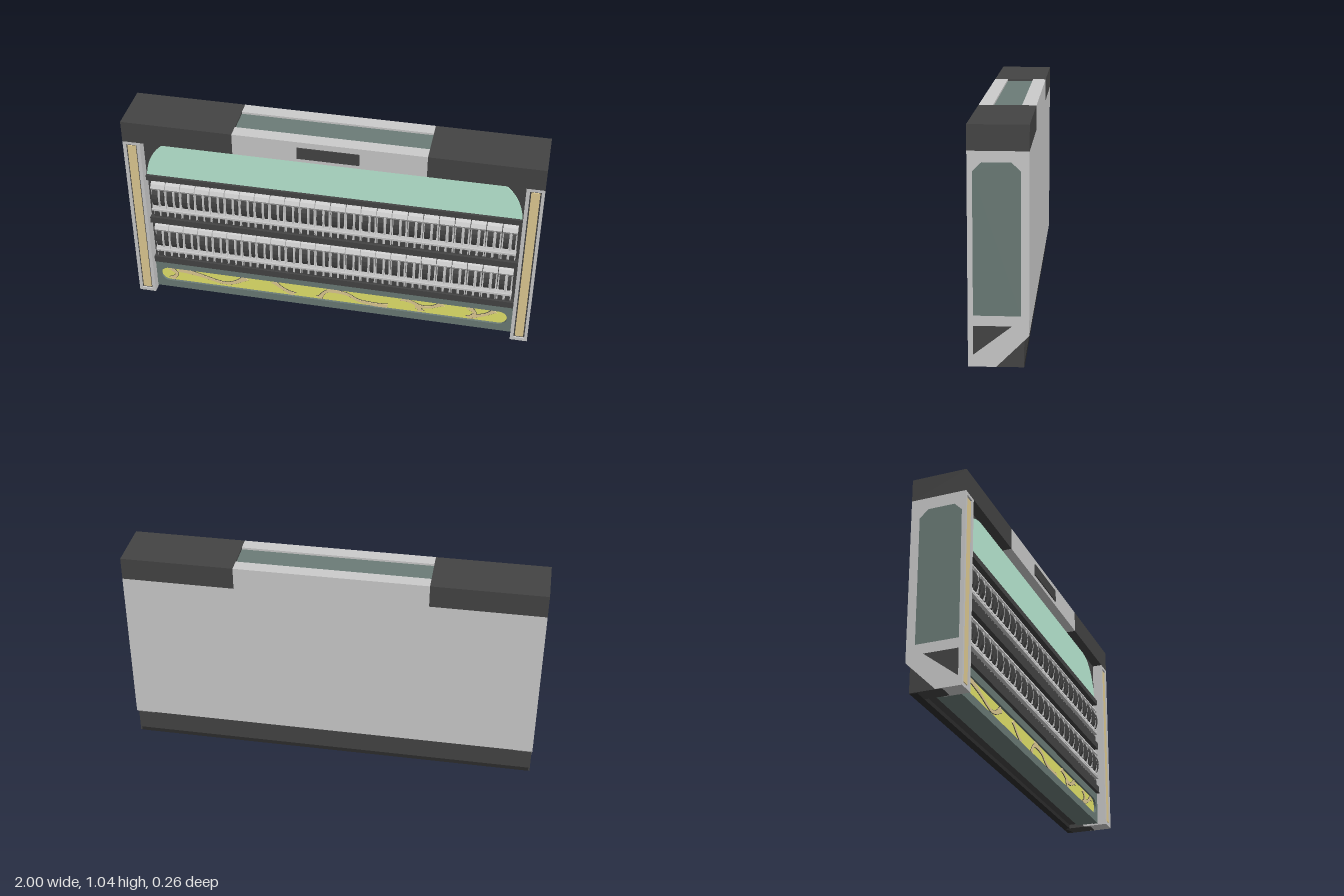
import * as THREE from 'three';

const mat = (color) => new THREE.MeshStandardMaterial({ color, flatShading: true });
const GREY = mat(0xcccccc), DARK = mat(0x444444), TEAL = mat(0x6b7c77), MINT = mat(0xbdeed7);
const TAN = mat(0xe2cd94), YELLOW = mat(0xe6e66c), BLACK = mat(0x2c2c2c);

export function createModel() {
  const root = new THREE.Group();
  const add = (name, geo, material, parent = root) => {
    const m = new THREE.Mesh(geo, material);
    m.name = name;
    parent.add(m);
    return m;
  };
  // Box given by its min and max on each axis
  const box = (name, x0, x1, y0, y1, z0, z1, material, parent) =>
    add(name, new THREE.BoxGeometry(x1 - x0, y1 - y0, z1 - z0)
      .translate((x0 + x1) / 2, (y0 + y1) / 2, (z0 + z1) / 2), material, parent);
  const poly = (pts) => new THREE.Shape(pts.map(([a, b]) => new THREE.Vector2(a, b)));
  const withHoles = (pts, holes) => {
    const s = poly(pts);
    s.holes = holes.map(poly);
    return s;
  };
  const extrude = (shape, depth) =>
    new THREE.ExtrudeGeometry(shape, { depth, bevelEnabled: false, curveSegments: 10 });
  const front = (name, shape, z0, z1, material, parent) =>
    add(name, extrude(shape, z1 - z0).translate(0, 0, z0), material, parent);
  // Profile in (z, y), extruded sideways from x0 to x1
  const zy = (pts) => pts.map(([z, y]) => [-z, y]);
  const side = (name, pts, x0, x1, material, parent, holes = []) =>
    add(name, extrude(withHoles(zy(pts), holes.map(zy)), x1 - x0)
      .rotateY(Math.PI / 2).translate(x0, 0, 0), material, parent);
  const rect = (x0, x1, y0, y1) => [[x0, y0], [x1, y0], [x1, y1], [x0, y1]];

  // Main body and back
  box('core', -0.915, 0.915, 0.14, 0.93, -0.1, 0.07, DARK);
  box('backPanel', -0.915, 0.915, 0.14, 0.93, -0.13, -0.1, GREY);

  // Base with dark plinth behind and feet at both ends
  box('plinth', -0.99, 0.99, 0.02, 0.139, -0.11, -0.03, DARK);
  box('plinthRail', -0.99, 0.99, 0, 0.02, -0.11, -0.075, BLACK);
  box('baseTray', -0.915, 0.915, 0.01, 0.14, -0.03, 0.06, TEAL);

  // Top cap: dark ends, grey middle with an inset strip
  for (const s of [-1, 1]) {
    box('capEnd', Math.min(s, s * 0.46), Math.max(s, s * 0.46), 0.93, 1.04, -0.13, 0.13, DARK);
    box('capRail', -0.46, 0.46, 0.93, 1.04, s > 0 ? 0.065 : -0.13, s > 0 ? 0.13 : -0.065, GREY);
  }
  box('capStrip', -0.46, 0.46, 0.93, 1.03, -0.065, 0.065, TEAL);
  box('capPlate', -0.15, 0.145, 0.95, 1.01, 0.13, 0.135, DARK);

  // Side columns
  const profile = [[0.12, 0], [0.12, 0.93], [-0.13, 0.93], [-0.13, 0.14], [0.01, 0]];
  const windowPts = (o) => [[0.115 - o, 0.215 + o], [0.115 - o, 0.845 - o * 0.4], [0.072 - o * 0.4, 0.888 - o],
    [-0.058 + o * 0.4, 0.888 - o], [-0.102 + o, 0.845 - o * 0.4], [-0.102 + o, 0.215 + o]];
  const triangle = (o) => [[0.115 - o, 0.035 + o * 2], [0.115 - o, 0.185 - o], [-0.075 + o * 2.4, 0.185 - o]];
  for (const s of [-1, 1]) {
    const col = new THREE.Group();
    col.name = s > 0 ? 'leftColumn' : 'rightColumn';
    root.add(col);
    // Outward span in x, mirrored for the other column
    const span = (a, b) => (s > 0 ? [a, b] : [-b, -a]);
    side('columnCore', profile, ...span(0.915, 0.98), GREY, col);
    side('columnSkin', profile, ...span(0.98, 1), GREY, col, [windowPts(0), triangle(0)]);
    side('windowFrame', windowPts(0), ...span(0.98, 0.992), GREY, col, [windowPts(0.007)]);
    side('windowPane', windowPts(0.006), ...span(0.98, 0.986), TEAL, col);
    side('triangleFrame', triangle(0), ...span(0.98, 0.992), GREY, col, [triangle(0.007)]);
    side('trianglePanel', triangle(0.006), ...span(0.98, 0.984), DARK, col);
    side('foot', [[-0.109, 0], [-0.109, 0.119], [0.009, 0.001], [0.04, 0.001], [0.04, 0]],
      ...span(0.92, 0.997), DARK, col);
    const [a, b] = span(0.915, 1), [c, d] = span(0.932, 0.985);
    front('columnFrame', withHoles(rect(a, b, 0, 0.93), [rect(c, d, 0.017, 0.915)]), 0.12, 0.13, GREY, col);
    box('columnInlayEdge', c, d, 0.017, 0.915, 0.119, 0.122, DARK, col);
    box('columnInlay', c + 0.006, d - 0.006, 0.025, 0.907, 0.12, 0.127, TAN, col);
  }

  // Arched upper panel with dark corners
  const arch = new THREE.Shape();
  arch.moveTo(-0.912, 0.715);
  arch.bezierCurveTo(-0.9, 0.84, -0.83, 0.927, -0.72, 0.928);
  arch.lineTo(0.72, 0.928);
  arch.bezierCurveTo(0.83, 0.927, 0.9, 0.84, 0.912, 0.715);
  front('archPanel', arch, 0.07, 0.085, MINT);
  box('archCorners', -0.915, 0.915, 0.715, 0.93, 0.06, 0.08, DARK);

  // Two rows of modules between dark shelves
  for (const [y0, y1] of [[0.69, 0.718], [0.428, 0.462], [0.175, 0.21]])
    box('shelf', -0.915, 0.915, y0, y1, 0.06, 0.098, DARK);
  const count = 24, pitch = 1.8 / count;
  [0.465, 0.21].forEach((y, r) => {
    const row = new THREE.Group();
    row.name = r ? 'lowerRow' : 'upperRow';
    root.add(row);
    const at = (pts) => pts.map(([z, h]) => [z, y + h]);
    box('lowerLedge', -0.9, 0.9, y + 0.042, y + 0.052, 0.06, 0.1, GREY, row);
    for (let i = 0; i < count; i++) {
      const x = -0.9 + i * pitch;
      side('module', at([[0.06, 0.056], [0.098, 0.056], [0.09, 0.08], [0.086, 0.12], [0.09, 0.16],
        [0.1, 0.178], [0.09, 0.198], [0.06, 0.21]]), x + 0.002, x + pitch - 0.002, GREY, row);
      // Bowed dark grips, one wide and one narrow
      for (const [o, w] of [[0.009, 0.026], [0.05, 0.016]])
        side('grip', at([[0.08, 0.075], [0.096, 0.075], [0.104, 0.095], [0.107, 0.12], [0.104, 0.145],
          [0.096, 0.165], [0.08, 0.165]]), x + o, x + o + w, DARK, row);
      side('gripBar', at([[0.08, 0.07], [0.1, 0.07], [0.105, 0.12], [0.1, 0.17], [0.08, 0.17]]),
        x + 0.038, x + 0.046, GREY, row);
      box('moduleFoot', x + 0.002, x + pitch - 0.002, y, y + 0.04, 0.06, 0.082, GREY, row);
      for (const o of [0.008, 0.044])
        box('socket', x + o, x + o + 0.024, y + 0.004, y + 0.03, 0.08, 0.092, DARK, row);
    }
  });

  // Lower front panel with a rounded slot
  const slot = (o) => {
    const r = 0.041 - o, p = new THREE.Path();
    p.absarc(0.849, 0.09, r, -Math.PI / 2, Math.PI / 2);
    p.absarc(-0.849, 0.09, r, Math.PI / 2, Math.PI * 1.5);
    return p.getPoints(8).map((v) => [v.x, v.y]);
  };
  front('lowerPanel', withHoles(rect(-0.915, 0.915, 0.008, 0.17), [slot(0)]), 0.06, 0.085, TEAL);
  front('glowStrip', poly(slot(-0.001)), 0.06, 0.074, YELLOW);

  // Branching veins: flat ribbons that swell at both ends
  const veins = [
    [[-0.84, 0.125], [-0.81, 0.09], [-0.84, 0.053]],
    [[-0.8, 0.125], [-0.68, 0.1], [-0.57, 0.072], [-0.5, 0.085], [-0.44, 0.126]],
    [[-0.3, 0.126], [-0.25, 0.085], [-0.19, 0.054]],
    [[-0.06, 0.054], [-0.03, 0.1], [0.03, 0.126]],
    [[-0.02, 0.118], [0.08, 0.105], [0.15, 0.07], [0.29, 0.055]],
    [[0.36, 0.126], [0.43, 0.1], [0.46, 0.054]],
    [[0.43, 0.09], [0.5, 0.09], [0.57, 0.126]],
    [[0.7, 0.126], [0.73, 0.09], [0.7, 0.054]],
    [[0.72, 0.07], [0.78, 0.09], [0.83, 0.126]],
  ];
  const ribbon = (pts, extra) => {
    const curve = new THREE.SplineCurve(pts.map(([x, y]) => new THREE.Vector2(x, y)));
    const up = [], down = [];
    for (let i = 0; i <= 12; i++) {
      const t = i / 12, p = curve.getPoint(t), d = curve.getTangent(t);
      const w = 0.007 + 0.012 * Math.pow(Math.abs(2 * t - 1), 3) + extra;
      const clampY = (y) => Math.min(0.13, Math.max(0.05, y));
      up.push([p.x - d.y * w, clampY(p.y + d.x * w)]);
      down.unshift([p.x + d.y * w, clampY(p.y - d.x * w)]);
    }
    return poly([...up, ...down]);
  };
  for (const pts of veins) {
    front('veinEdge', ribbon(pts, 0.002), 0.073, 0.076, DARK);
    front('vein', ribbon(pts, 0), 0.074, 0.078, TAN);
  }
  return root;
}
